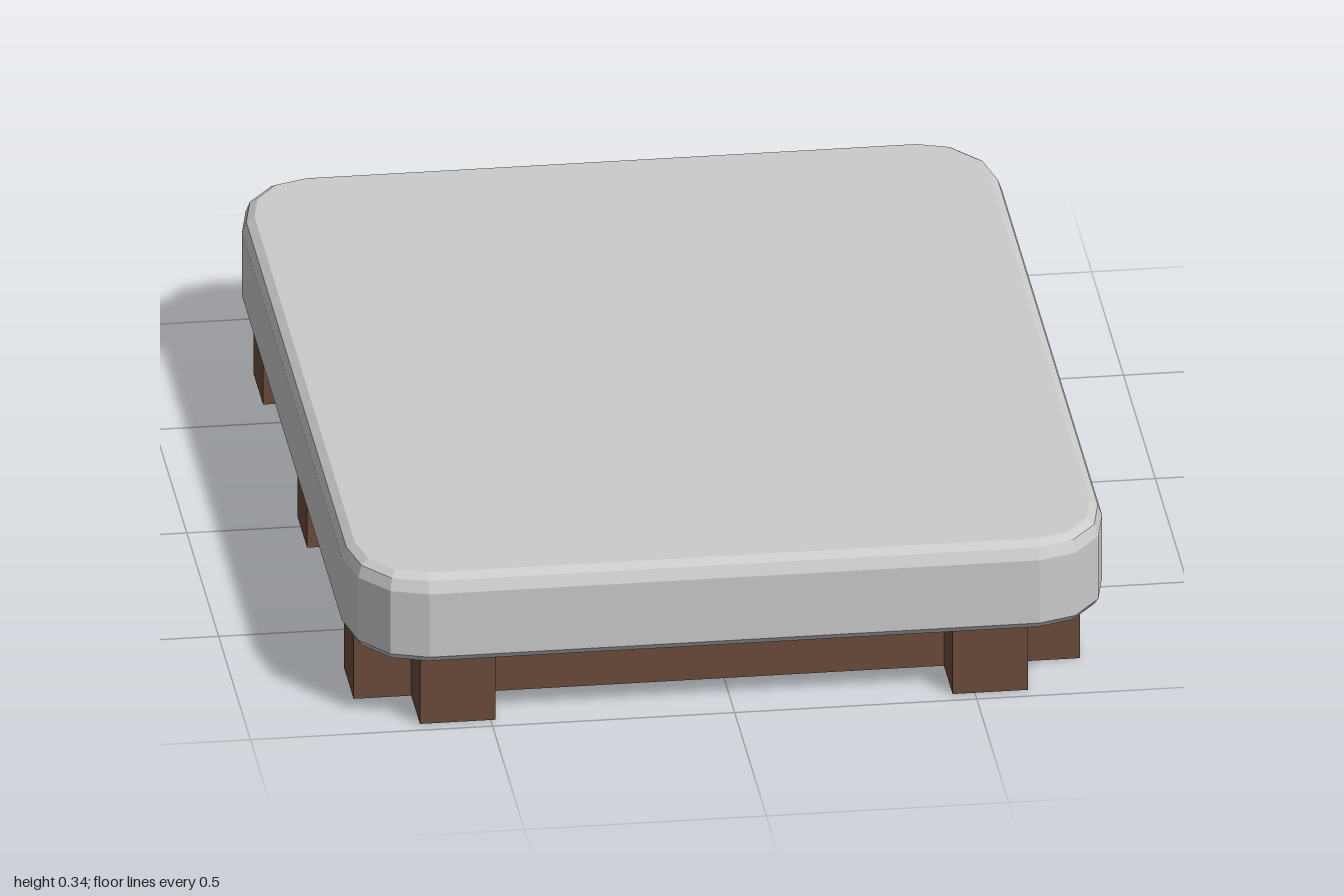
import * as THREE from 'three';

const wood = new THREE.MeshStandardMaterial({ color: 0x6b4c3b, flatShading: true });
const cloth = new THREE.MeshStandardMaterial({ color: 0xcccccc, flatShading: true });

// Rounded-rectangle outline, counter-clockwise from above, shrunk by an inset
function outline(y, insetX, insetZ) {
  const halfX = 0.785, halfZ = 0.985, rx = 0.155, rz = 0.2, cz = 0.015;
  const points = [];
  for (let corner = 0; corner < 4; corner++) {
    const sx = corner === 0 || corner === 3 ? 1 : -1;
    const sz = corner < 2 ? -1 : 1;
    for (let i = 0; i <= 3; i++) {
      const a = (corner + i / 3) * Math.PI / 2;
      points.push([
        sx * (halfX - rx) + Math.cos(a) * (rx - insetX),
        y,
        cz + sz * (halfZ - rz) - Math.sin(a) * (rz - insetZ),
      ]);
    }
  }
  return points;
}

// Slab skinned through stacked outlines, with flat caps
function mattressGeometry() {
  const levels = [
    [0.145, 0.026, 0.032], [0.15, 0.009, 0.012], [0.164, 0, 0],
    [0.306, 0, 0], [0.33, 0.009, 0.012], [0.341, 0.026, 0.032],
  ];
  const rings = levels.map((level) => outline(...level));
  const last = rings.length - 1;
  const n = rings[0].length;
  const pos = [];
  const tri = (a, b, c) => pos.push(...a, ...b, ...c);
  for (let i = 0; i < n; i++) {
    const j = (i + 1) % n;
    for (let k = 0; k < last; k++) {
      const lo = rings[k], hi = rings[k + 1];
      tri(lo[i], lo[j], hi[j]);
      tri(lo[i], hi[j], hi[i]);
    }
    tri([0, levels[last][0], 0.015], rings[last][i], rings[last][j]);
    tri([0, levels[0][0], 0.015], rings[0][j], rings[0][i]);
  }
  const geometry = new THREE.BufferGeometry();
  geometry.setAttribute('position', new THREE.Float32BufferAttribute(pos, 3));
  geometry.computeVertexNormals();
  return geometry;
}

export function createModel() {
  const model = new THREE.Group();
  model.name = 'palletBed';

  const mattress = new THREE.Mesh(mattressGeometry(), cloth);
  mattress.name = 'mattress';
  model.add(mattress);

  const frame = new THREE.Group();
  frame.name = 'frame';
  model.add(frame);

  const beam = (name, width, depth, x, z) => {
    const mesh = new THREE.Mesh(new THREE.BoxGeometry(width, 0.158, depth), wood);
    mesh.name = name;
    mesh.position.set(x, 0.079, z);
    frame.add(mesh);
  };

  // Two long beams and three cross beams, lapped flush
  for (const x of [-0.568, 0.532]) beam('longBeam', 0.156, 1.97, x, -0.015);
  for (const z of [0.756, 0.025, -0.667]) beam('crossBeam', 1.5, 0.154, -0.015, z);

  return model;
}
